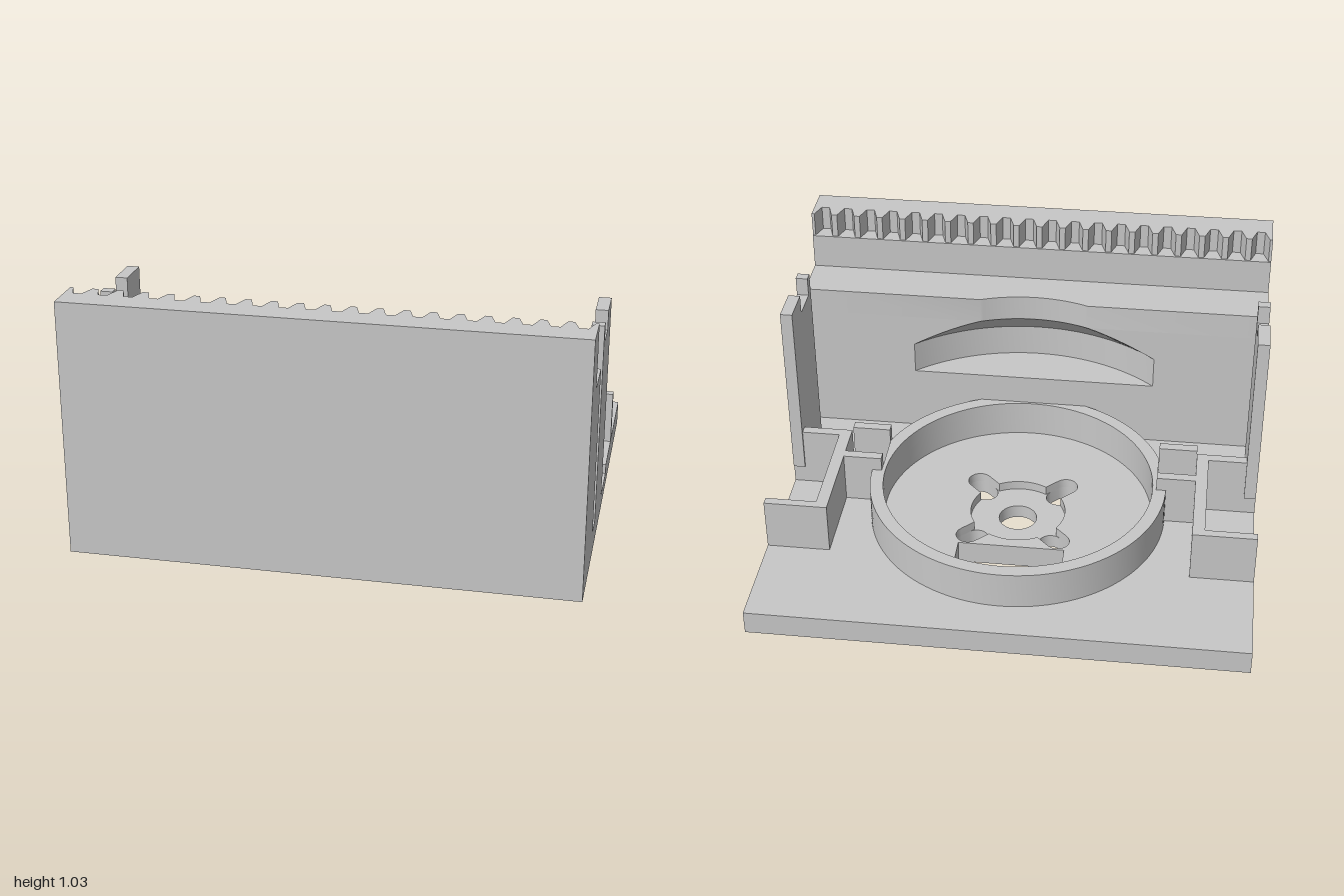
import * as THREE from 'three';
import { toCreasedNormals } from 'three/addons/utils/BufferGeometryUtils.js';

const HUB_Z = -0.09;      // centre of the round seat
const BLOCK_Z = 0.485;    // back face of the front block

export function createModel() {
  const group = new THREE.Group();
  const grey = new THREE.MeshStandardMaterial({ color: 0xc7c7c7 });
  grey.name = 'grey';

  const add = (name, geometry) => {
    const mesh = new THREE.Mesh(geometry, grey);
    mesh.name = name;
    group.add(mesh);
  };

  // box given by its limits
  const box = (name, x0, x1, y0, y1, z0, z1) => {
    const g = new THREE.BoxGeometry(Math.abs(x1 - x0), y1 - y0, z1 - z0);
    g.translate((x0 + x1) / 2, (y0 + y1) / 2, (z0 + z1) / 2);
    add(name, g);
  };

  // horizontal outline of [x, z] points, extruded from y0 to y1;
  // an optional rule moves the vertices of each step
  const toPath = (pts) => pts.map(([x, z]) => new THREE.Vector2(x, -z)).reverse();
  const slab = (name, outline, holes, y0, y1, steps = 1, rule = null) => {
    const shape = new THREE.Shape(toPath(outline));
    shape.holes = holes.map((h) => new THREE.Path(toPath(h)));
    const g = new THREE.ExtrudeGeometry(shape, { depth: y1 - y0, steps, bevelEnabled: false });
    g.rotateX(-Math.PI / 2);
    g.translate(0, y0, 0);
    if (rule) {
      const p = g.attributes.position;
      for (let i = 0; i < p.count; i++) {
        const [x, z] = rule(p.getX(i), p.getY(i), p.getZ(i));
        p.setXYZ(i, x, p.getY(i), z);
      }
    }
    add(name, toCreasedNormals(g, 0.5));
  };

  const rect = (x0, x1, z0, z1) => [[x0, z0], [x1, z0], [x1, z1], [x0, z1]];
  const arc = (cx, cz, r, a0, a1, n) => Array.from({ length: n + 1 }, (_, i) => {
    const a = a0 + ((a1 - a0) * i) / n;
    return [cx + r * Math.cos(a), cz + r * Math.sin(a)];
  });
  const circle = (r, n) => arc(0, HUB_Z, r, 0, 2 * Math.PI * (1 - 1 / n), n - 1);

  // diagonal screw slots around the hub
  const slotR = 0.05;
  const angles = [0, 1, 2, 3].map((i) => Math.PI / 4 + (i * Math.PI) / 2);
  const along = (a, d) => [d * Math.cos(a), HUB_Z + d * Math.sin(a)];
  const slotEnd = (a) => arc(...along(a, 0.265), slotR, a - Math.PI / 2, a + Math.PI / 2, 12);
  const slots = angles.map((a) => [
    ...slotEnd(a),
    ...arc(...along(a, 0.22), slotR, a + Math.PI / 2, a + 1.5 * Math.PI, 12),
  ]);

  // hub recess merged with the slots it touches
  const spread = Math.asin(slotR / 0.2);
  const hubRecess = angles.flatMap((a) => [
    ...slotEnd(a),
    ...arc(0, HUB_Z, 0.2, a + spread, a + Math.PI / 2 - spread, 12),
  ]);

  // base plate in two layers, the upper one notched at the sides
  const throughHoles = [
    rect(-0.22, 0.22, -0.595, -0.335),
    ...[1, -1].flatMap((s) => [
      rect(s * 0.84, s * 0.96, -0.36, -0.24),
      rect(s * 0.75, s * 0.78, -0.035, 0.09),
    ]),
  ];
  slab('basePlateLower', rect(-1, 1, -0.87, 0.87),
    [...throughHoles, ...slots, circle(0.08, 40)], 0, 0.06);
  slab('basePlateUpper', [
    [-1, -0.87], [1, -0.87], [1, -0.16], [0.79, -0.16], [0.79, 0.06], [1, 0.06],
    [1, 0.87], [-1, 0.87], [-1, 0.06], [-0.79, 0.06], [-0.79, -0.16], [-1, -0.16],
  ], [...throughHoles, hubRecess], 0.06, 0.1);

  // round seat wall, thinned where the side channels meet it
  const ringOutline = circle(0.62, 120).map(([x, z]) =>
    (z > -0.07 && z < 0.14 ? [THREE.MathUtils.clamp(x, -0.58, 0.58), z] : [x, z]));
  slab('seatRing', ringOutline, [circle(0.565, 120)], 0.1, 0.26);

  // front block: solid foot, wide disc slot, cone narrowing upward, shallow recess
  const startAngle = (r) => Math.asin((BLOCK_Z - HUB_Z) / r);
  const hollowed = (r) => [
    [-1, BLOCK_Z],
    ...arc(0, HUB_Z, r, Math.PI - startAngle(r), startAngle(r), 32),
    [1, BLOCK_Z], [1, 0.87], [-1, 0.87],
  ];
  const [wideR, narrowR, coneY0, coneY1] = [0.78, 0.62, 0.53, 0.67];
  const narrow = (x, y, z) => {
    if (Math.abs(Math.hypot(x, z - HUB_Z) - wideR) > 1e-4) return [x, z];
    const r = THREE.MathUtils.mapLinear(y, coneY0, coneY1, wideR, narrowR);
    const a = startAngle(wideR), b = startAngle(r);
    const angle = THREE.MathUtils.mapLinear(Math.atan2(z - HUB_Z, x), a, Math.PI - a, b, Math.PI - b);
    return along(angle, r);
  };
  box('frontBlockFoot', -1, 1, 0.1, 0.39, BLOCK_Z, 0.87);
  slab('frontBlockDiscSlot', hollowed(wideR), [], 0.39, coneY0);
  slab('frontBlockCone', hollowed(wideR), [], coneY0, coneY1, 8, narrow);
  slab('frontBlockTop', hollowed(narrowR), [], coneY1, 0.78);
  box('frontWall', -1, 1, 0.78, 0.93, 0.69, 0.87);

  // toothed rack along the top of the front wall
  const rack = [[-1, 0.87], [-1, 0.697]];
  for (let i = 0; i < 20; i++) {
    const x = -0.95 + i * 0.1;
    rack.push([x - 0.038, 0.697], [x - 0.017, 0.76], [x + 0.017, 0.76], [x + 0.038, 0.697]);
  }
  rack.push([1, 0.697], [1, 0.87]);
  slab('toothedRack', rack, [], 0.93, 1.035);

  for (const s of [1, -1]) {
    // side compartment
    box('compartmentBackWall', s * 0.74, s, 0.1, 0.32, -0.445, -0.41);
    box('compartmentInnerWall', s * 0.74, s * 0.79, 0.1, 0.32, -0.41, 0.06);
    box('compartmentFrontWall', s * 0.74, s * 0.95, 0.1, 0.32, 0.06, 0.1);
    // channel between compartment and ring
    box('channelWall', s * 0.58, s * 0.74, 0.1, 0.32, -0.09, -0.05);
    box('channelWall', s * 0.58, s * 0.74, 0.1, 0.32, 0.12, 0.16);
    // tall side post with a notched top
    box('sidePostFoot', s * 0.95, s, 0.1, 0.14, 0.06, 0.385);
    box('sidePost', s * 0.95, s, 0.14, 0.835, 0.052, 0.385);
    box('sidePostBackTip', s * 0.95, s, 0.835, 0.915, 0.052, 0.205);
    box('sidePostFrontTip', s * 0.95, s, 0.835, 0.915, 0.345, 0.385);
  }
  return group;
}
